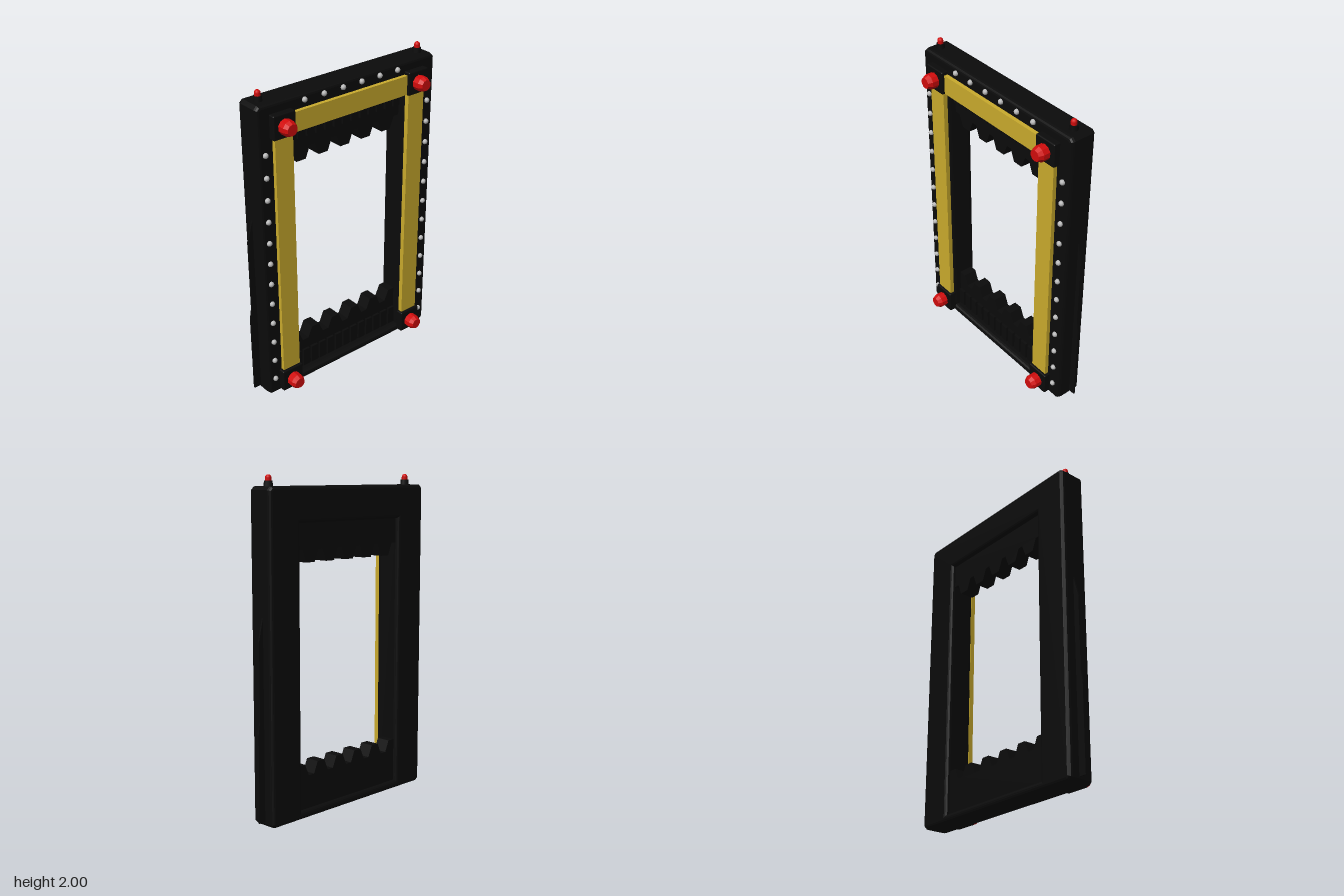
import * as THREE from 'three';
import { RoundedBoxGeometry } from 'three/addons/geometries/RoundedBoxGeometry.js';

const mat = (name, color) => {
  const m = new THREE.MeshStandardMaterial({ color });
  m.name = name;
  return m;
};

export function createModel() {
  const black = mat('black', 0x0b0b0b);
  const yellow = mat('yellow', 0xcaab2d);
  const red = mat('red', 0xd20c0c);
  const silver = mat('silver', 0xb8b8b8);
  const root = new THREE.Group();
  root.name = 'gateFrame';

  const add = (name, geo, material, x = 0, y = 0, z = 0) => {
    const m = new THREE.Mesh(geo, material);
    m.name = name;
    m.position.set(x, y, z);
    root.add(m);
    return m;
  };
  // box given by its limits
  const box = (name, material, x0, x1, y0, y1, z0, z1) =>
    add(name, new THREE.BoxGeometry(x1 - x0, y1 - y0, z1 - z0), material,
      (x0 + x1) / 2, (y0 + y1) / 2, (z0 + z1) / 2);
  const poly = (pts) => new THREE.Shape(pts.map(([x, y]) => new THREE.Vector2(x, y)));

  // outer frame with bevelled edges
  const c = 0.02;
  const frame = poly([[-0.65 + c, 0], [0.65 - c, 0], [0.65, c], [0.65, 1.935 - c],
    [0.65 - c, 1.935], [-0.65 + c, 1.935], [-0.65, 1.935 - c], [-0.65, c]]);
  frame.holes.push(poly([[-0.42, 0.05], [-0.42, 1.73], [0.42, 1.73], [0.42, 0.05]]));
  add('frame', new THREE.ExtrudeGeometry(frame, {
    depth: 0.12, bevelThickness: 0.025, bevelSize: 0.02, bevelOffset: -0.02, bevelSegments: 3,
  }), black, 0, 0, -0.115);

  // toothed panels: upper teeth fill the valleys of the lower ones
  const pitch = 0.16;
  const upper = [[0.43, 1.75], [-0.43, 1.75], [-0.43, 1.58]];
  const lower = [[0.43, 0.03], [-0.43, 0.03], [-0.43, 0.32]];
  for (let i = -2; i <= 2; i++) {
    const x = i * pitch;
    upper.push([x - 0.063, 1.58], [x - 0.033, 1.505], [x + 0.033, 1.505], [x + 0.063, 1.58]);
    lower.push([x - 0.052, 0.32], [x - 0.022, 0.25], [x + 0.022, 0.25], [x + 0.052, 0.32]);
  }
  upper.push([0.43, 1.58]);
  lower.push([0.43, 0.32]);
  const panelOpts = { depth: 0.09, bevelEnabled: false };
  add('upperToothedPanel', new THREE.ExtrudeGeometry(poly(upper), panelOpts), black, 0, 0, -0.115);
  add('lowerToothedPanel', new THREE.ExtrudeGeometry(poly(lower), panelOpts), black, 0, 0, -0.115);

  // upright ribs on both panels
  for (let i = -6; i <= 6; i++) {
    const x = i * 0.065;
    box('upperRib', black, x - 0.024, x + 0.024, 1.65, 1.73, -0.03, -0.01);
    box('lowerRib', black, x - 0.024, x + 0.024, 0.06, 0.18, -0.03, -0.01);
  }

  // yellow trim
  box('topTrim', yellow, -0.415, 0.412, 1.735, 1.855, 0.025, 0.055);
  box('rightTrim', yellow, -0.552, -0.43, 0.165, 1.725, 0.025, 0.055);
  box('leftTrim', yellow, 0.425, 0.547, 0.165, 1.725, 0.025, 0.055);

  // corner blocks and red lamps
  const knob = new THREE.LatheGeometry([[0, -0.02], [0.047, -0.02], [0.047, 0.045],
    [0.034, 0.072], [0, 0.072]].map(([r, y]) => new THREE.Vector2(r, y)), 10).toNonIndexed();
  knob.rotateX(Math.PI / 2);
  knob.computeVertexNormals();
  for (const x of [-0.493, 0.488]) {
    for (const [yBlock, yLamp] of [[0.09, 0.085], [1.802, 1.8]]) {
      add('cornerBlock', new RoundedBoxGeometry(0.15, 0.146, 0.05, 2, 0.008), black, x, yBlock, 0.045);
      add('cornerLamp', knob, red, x, yLamp, 0.067);
    }
  }

  // rivets down both posts and along the top
  const rivet = new THREE.SphereGeometry(0.017, 10, 8);
  for (let i = 0; i < 12; i++) {
    for (const x of [-0.603, 0.597]) add('postRivet', rivet, silver, x, 0.115 + i * 0.139, 0.034);
  }
  for (let i = 0; i < 6; i++) add('topRivet', rivet, silver, -0.33 + i * 0.136, 1.9, 0.034);

  // small top lamps
  for (const x of [-0.583, 0.577]) {
    add('topLampBase', new THREE.CylinderGeometry(0.024, 0.028, 0.04, 10), black, x, 1.945, -0.047);
    add('topLampStem', new THREE.CylinderGeometry(0.018, 0.018, 0.022, 10), red, x, 1.971, -0.047);
    add('topLampDome', new THREE.SphereGeometry(0.018, 10, 8), red, x, 1.982, -0.047);
  }

  // thin stepped fins on the outer sides
  for (const s of [-1, 1]) {
    const o = s < 0 ? 0.005 : 0;
    const fin = poly([[0.63, 0.03], [0.693 + o, 0.03], [0.693 + o, 0.55], [0.681 + o, 0.62],
      [0.681 + o, 1.08], [0.648, 1.22], [0.63, 1.22]].map(([x, y]) => [s * x, y]));
    add('sideFin', new THREE.ExtrudeGeometry(fin, { depth: 0.01, bevelEnabled: false }),
      black, 0, 0, -0.071);
  }
  return root;
}
